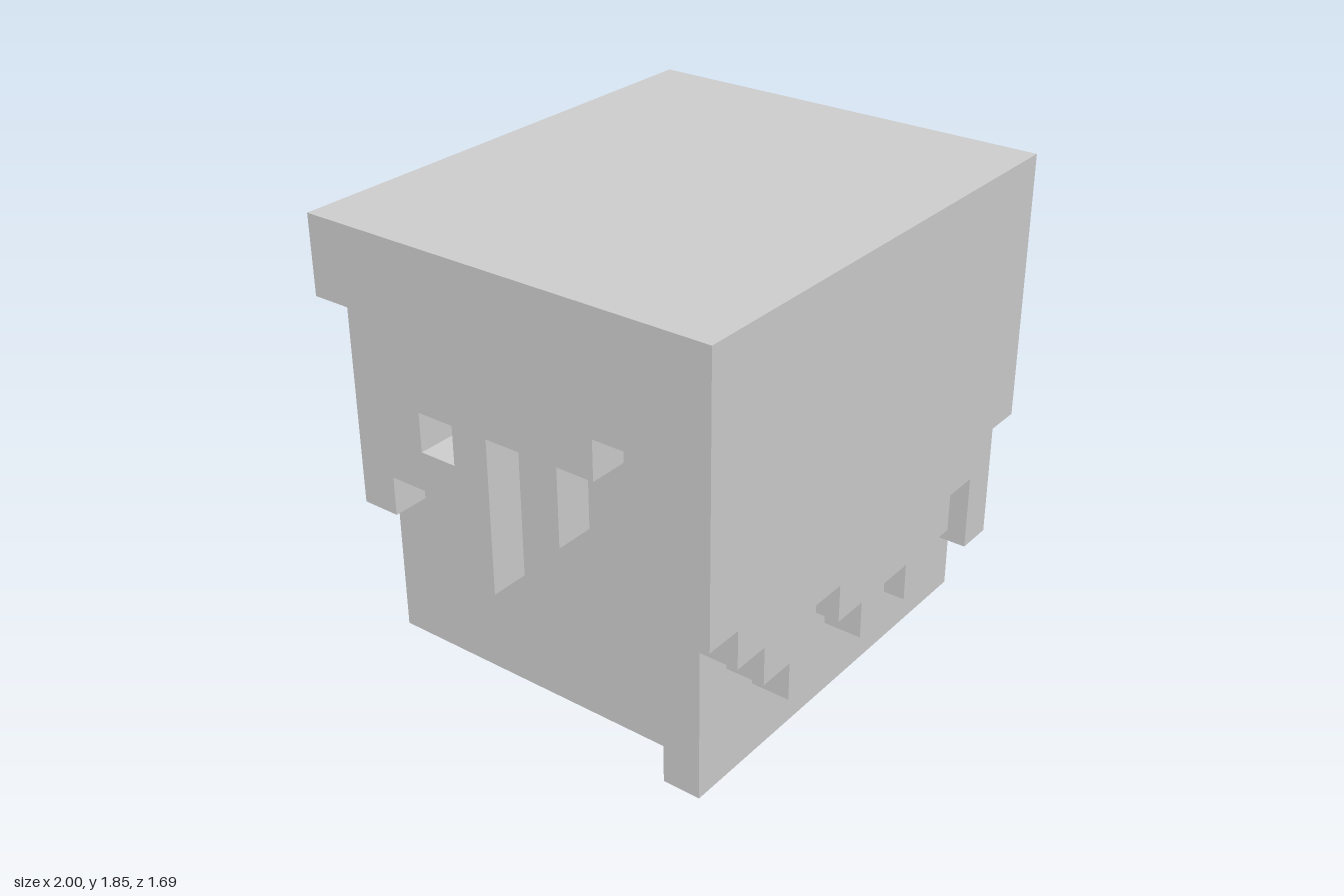
import * as THREE from 'three';

const U = 2 / 13; // one block of the blocky grid, in world units
const TOP = 12;   // total height in blocks

export function createModel() {
  const group = new THREE.Group();
  const material = new THREE.MeshStandardMaterial({ color: 0xcccccc, flatShading: true });

  const add = (name, geometry) => {
    geometry.scale(U, U, U);
    const mesh = new THREE.Mesh(geometry, material);
    mesh.name = name;
    group.add(mesh);
  };

  // Box given by its ranges in blocks
  const box = (name, [x0, x1], [y0, y1], [z0, z1]) => {
    const g = new THREE.BoxGeometry(x1 - x0, y1 - y0, z1 - z0);
    g.translate((x0 + x1) / 2, (y0 + y1) / 2, (z0 + z1) / 2);
    add(name, g);
  };

  // One-block-thick sheet
  const sheet = (shape) => new THREE.ExtrudeGeometry(shape, { depth: 1, bevelEnabled: false });

  // Sheet outline hanging from the top; each column ends at its own height
  const fringe = (bottoms) => {
    const start = -bottoms.length / 2;
    const pts = [];
    bottoms.forEach((b, i) => {
      if (b !== bottoms[i - 1]) pts.push(new THREE.Vector2(start + i, b));
      if (b !== bottoms[i + 1]) pts.push(new THREE.Vector2(start + i + 1, b));
    });
    pts.push(new THREE.Vector2(-start, TOP), new THREE.Vector2(start, TOP));
    return new THREE.Shape(pts);
  };

  // Inner head and the lip along the lower front edge
  box('head', [-5.5, 5.5], [1, TOP], [-4.5, 4.5]);
  box('chin', [-5.5, 5.5], [0, 1], [3.5, 4.5]);

  // Front and back outer layers, columns from -x to +x
  add('frontLayer', sheet(fringe([5, 4, 3, 2, 4, 3, 2, 3, 2, 3, 4, 2, 5])).translate(0, 0, 4.5));
  add('backLayer', sheet(fringe([10, 8, 9, 10, 10, 10, 10, 10, 10, 10, 9, 8, 10])).translate(0, 0, -5.5));

  // Side outer layers, columns from front to back
  const side = (name, bottoms, x) =>
    add(name, sheet(fringe(bottoms)).rotateY(Math.PI / 2).translate(x, 0, 0));
  side('leftLayer', [5, 9, 8, 7, 8, 9, 8, 6, 5], 5.5);
  side('rightLayer', [5, 9, 8, 6, 8, 4, 8, 6, 5], -6.5);

  // Ear blocks below the side openings
  box('leftEar', [5.5, 6.5], [4, 7], [-2.5, -0.5]);
  box('rightEar', [-6.5, -5.5], [4, 7], [-2.5, -1.5]);

  // Stepped ornament low on the back, mirrored about x = 0, with a slot
  const half = [[0.5, 0], [0.5, 1], [1.5, 1], [1.5, 2], [3.5, 2], [3.5, 3], [2.5, 3], [2.5, 4], [1.5, 4], [1.5, 5]];
  const outline = [...half, ...half.map(([x, y]) => [-x, y]).reverse()];
  const ornament = new THREE.Shape(outline.map(([x, y]) => new THREE.Vector2(x, y)));
  const slot = [[-1.5, 3], [-1.5, 4], [1.5, 4], [1.5, 3]];
  ornament.holes.push(new THREE.Path(slot.map(([x, y]) => new THREE.Vector2(x, y))));
  // Slot corners touch the outline's steps only diagonally, so the ring stays closed
  add('backOrnament', sheet(ornament).translate(0, 0, -5.5));

  return group;
}
